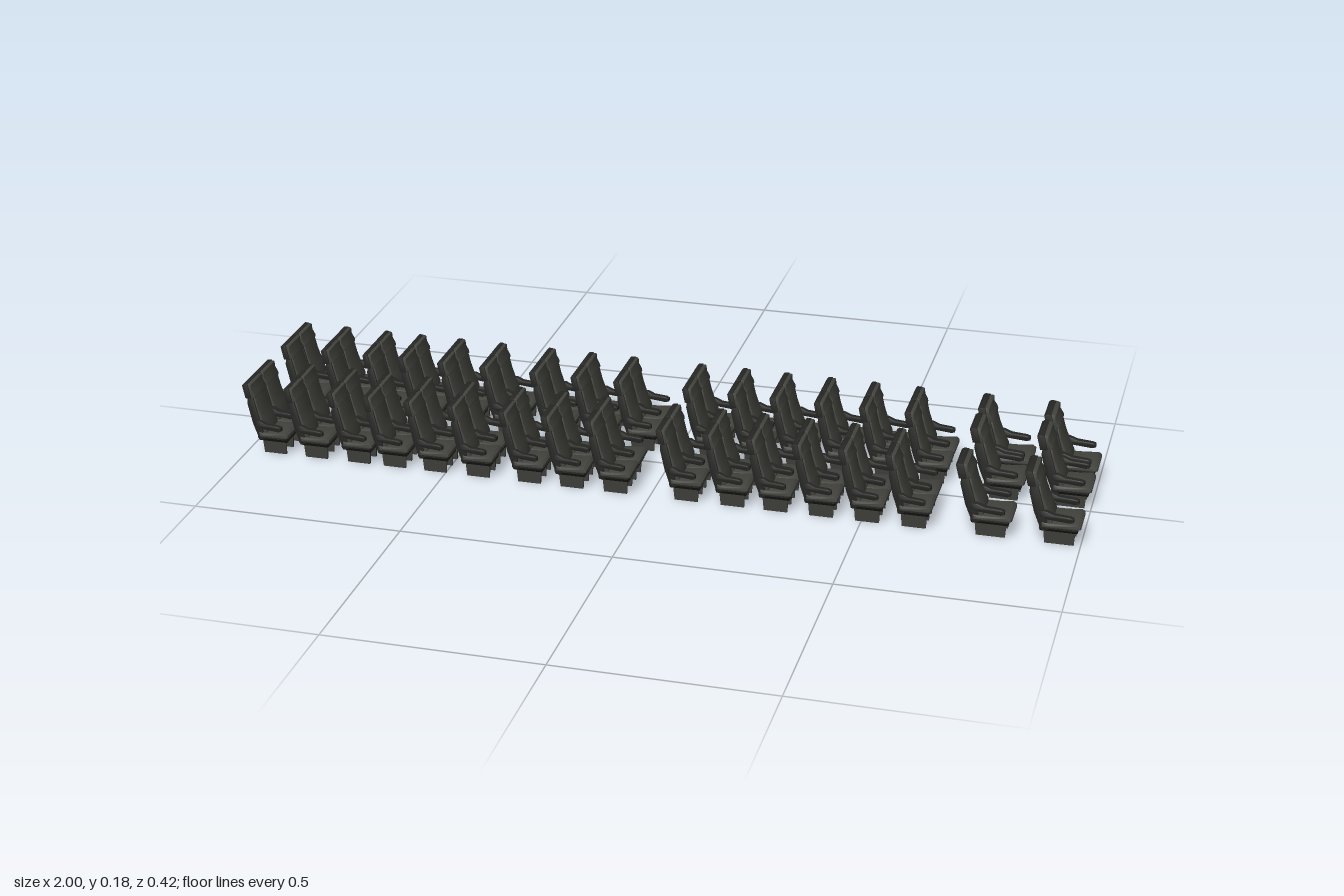
import * as THREE from 'three';
import { toCreasedNormals } from 'three/addons/utils/BufferGeometryUtils.js';

const fabric = new THREE.MeshStandardMaterial({ color: 0x43433e });
const shellMat = new THREE.MeshStandardMaterial({ color: 0x262624 });
const metal = new THREE.MeshStandardMaterial({ color: 0x3c3c38 });

// Outline in x/y, centred across its width, with bevelled edges
function slab(points, width, bevel) {
  const shape = new THREE.Shape(points.map(([x, y]) => new THREE.Vector2(x, y)));
  const geo = new THREE.ExtrudeGeometry(shape, {
    depth: width - 2 * bevel, bevelEnabled: bevel > 0, bevelSize: bevel,
    bevelThickness: bevel, bevelOffset: -bevel, bevelSegments: 2,
  });
  geo.translate(0, 0, -width / 2 + bevel);
  return toCreasedNormals(geo, 0.6);
}

// Seat parts: the back of the seat is at x = 0 and it faces +x
const geo = {
  // reclined rear shell, a little wider than the padding
  backShell: slab([[0.036, 0.036], [0.05, 0.04], [0.046, 0.062], [0.026, 0.145],
    [0.012, 0.15], [0.01, 0.13], [0.021, 0.08]], 0.075, 0.002),
  backCushion: slab([[0.042, 0.05], [0.056, 0.054], [0.056, 0.064], [0.046, 0.09],
    [0.036, 0.12], [0.03, 0.145], [0.02, 0.145], [0.028, 0.1]], 0.068, 0.003),
  headrestShell: slab([[0.007, 0.143], [0.022, 0.143], [0.014, 0.18], [0.004, 0.18], [0, 0.176]], 0.078, 0.002),
  headrestPad: slab([[0.012, 0.147], [0.022, 0.143], [0.031, 0.146], [0.03, 0.152],
    [0.023, 0.165], [0.022, 0.178], [0.018, 0.18], [0.01, 0.179]], 0.073, 0.002),
  seatCushion: slab([[0.035, 0.044], [0.102, 0.044], [0.11, 0.048], [0.11, 0.056],
    [0.104, 0.061], [0.08, 0.058], [0.05, 0.057], [0.035, 0.06]], 0.077, 0.004),
  armrest: slab([[0.034, 0.076], [0.05, 0.071], [0.09, 0.067], [0.097, 0.07], [0.097, 0.078],
    [0.09, 0.081], [0.06, 0.084], [0.044, 0.091], [0.034, 0.09]], 0.012, 0.002),
  leg: slab([[0.042, 0], [0.097, 0], [0.099, 0.04], [0.038, 0.04]], 0.005, 0),
};
// Seat pan narrows toward its underside
geo.seatPan = slab([[-0.029, 0.033], [0.029, 0.033], [0.038, 0.043], [0.038, 0.049], [-0.038, 0.049], [-0.038, 0.043]], 0.072, 0.002);
geo.seatPan.rotateY(Math.PI / 2).translate(0.068, 0, 0);
geo.rail = new THREE.BoxGeometry(0.008, 0.006, 0.047);

function makeSeat() {
  const seat = new THREE.Group();
  const add = (name, mat, x = 0, y = 0, z = 0, key = name) => {
    const mesh = new THREE.Mesh(geo[key], mat);
    mesh.name = name;
    mesh.position.set(x, y, z);
    seat.add(mesh);
  };
  add('backShell', shellMat);
  add('backCushion', fabric);
  add('headrestShell', shellMat);
  add('headrestPad', fabric);
  add('seatPan', shellMat);
  add('seatCushion', fabric);
  for (const [side, s] of [['left', -1], ['right', 1]]) {
    add(side + 'Armrest', shellMat, 0, 0, s * 0.042, 'armrest');
    add(side + 'Leg', metal, 0, 0, s * 0.021, 'leg');
  }
  add('frontRail', metal, 0.092, 0.033, 0, 'rail');
  add('rearRail', metal, 0.046, 0.033, 0, 'rail');
  return seat;
}

export function createModel() {
  const model = new THREE.Group();
  model.name = 'cabinSeats';

  const addRow = (name, x, centres, sx, sz) => {
    const row = new THREE.Group();
    row.name = name;
    row.position.x = x;
    centres.forEach((z, i) => {
      const seat = makeSeat();
      seat.name = `seat${i + 1}`;
      seat.position.z = z;
      seat.scale.set(sx, 1, sz);
      row.add(seat);
    });
    model.add(row);
  };

  // Standard rows, two seats on either side of the aisle
  const standard = [-1, -0.895, -0.787, -0.697, -0.595, -0.488, -0.362, -0.258, -0.152,
    0.018, 0.128, 0.23, 0.337, 0.444, 0.552];
  standard.forEach((x, i) => addRow(`standardRow${i + 1}`, x, [-0.162, -0.082, 0.082, 0.16], 1, 1));

  // Two wide rows at the front of the cabin
  [0.713, 0.868].forEach((x, i) => addRow(`wideRow${i + 1}`, x, [-0.157, -0.04, 0.156], 1.2, 1.15));
  return model;
}
